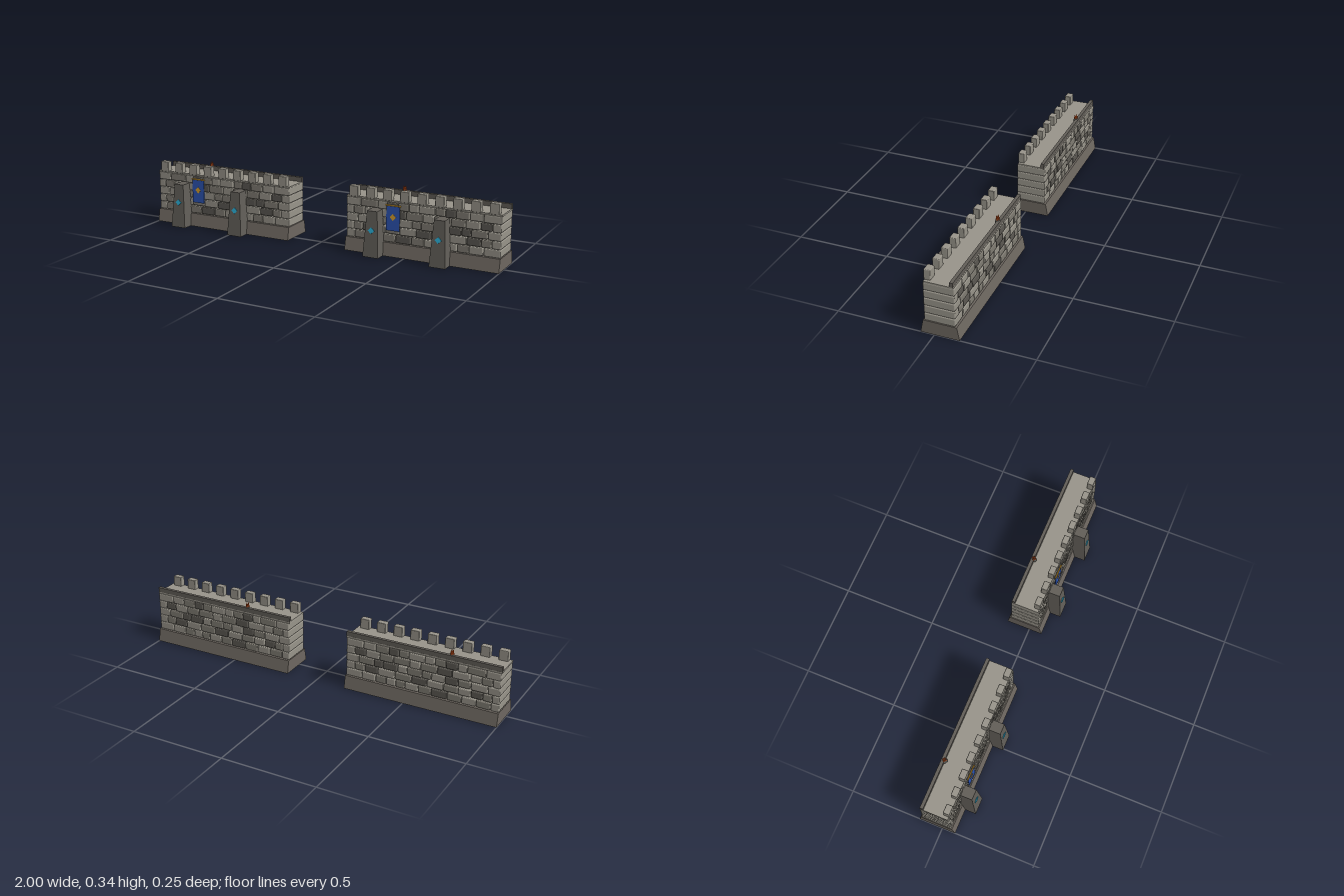
import * as THREE from 'three';
import { RoundedBoxGeometry } from 'three/addons/geometries/RoundedBoxGeometry.js';

const flat = (name, color) => new THREE.MeshStandardMaterial({ name, color });
const mats = {
  L: flat('light stone', 0x98948a),
  M: flat('mid stone', 0x7f7b72),
  D: flat('dark stone', 0x5b5852),
  base: flat('foundation stone', 0x6d6760),
  trim: flat('buttress stone', 0x625e58),
  blue: flat('banner blue', 0x2c55b4),
  gold: flat('gold', 0xd8a030),
  cyan: flat('cyan gem', 0x2bb0d8),
  flame: flat('flame orange', 0xd0521a),
};

const LEN = 0.832, HALF = LEN / 2;

function add(group, name, geometry, material, x = 0, y = 0, z = 0) {
  const mesh = new THREE.Mesh(geometry, material);
  mesh.name = name;
  mesh.position.set(x, y, z);
  group.add(mesh);
  return mesh;
}

function seeded(seed) {
  return () => {
    seed = (seed * 16807) % 2147483647;
    return seed / 2147483647;
  };
}

// Box whose bottom and top have their own width and z range
function taperedBlock(h, bottom, top) {
  const g = new THREE.BoxGeometry(1, h, 1).toNonIndexed();
  const p = g.attributes.position;
  for (let i = 0; i < p.count; i++) {
    const [w, back, front] = p.getY(i) > 0 ? top : bottom;
    p.setXYZ(i, p.getX(i) * w, p.getY(i) + h / 2, p.getZ(i) > 0 ? front : back);
  }
  g.computeVertexNormals();
  return g;
}

// Thin diamond plate
function diamond(rx, ry, depth) {
  const s = new THREE.Shape();
  s.moveTo(rx, 0);
  s.lineTo(0, ry);
  s.lineTo(-rx, 0);
  s.lineTo(0, -ry);
  s.closePath();
  return new THREE.ExtrudeGeometry(s, { depth, bevelEnabled: false });
}

// Courses of through-stones, bottom to top; one letter per stone colour
function buildCourses(group) {
  const rand = seeded(4711);
  const rows = ['LMLMDMLMLMLL', 'LMDLMLDMLDML', 'LLMDLMMLDDML', 'LMLLDMLMMLDL', 'LMLDMLLMDMLL'];
  const y0 = 0.069, pitch = 0.042;
  rows.forEach((row, r) => {
    const widths = [...row].map(() => 0.7 + rand() * 0.75);
    if (r % 2) widths[0] *= 0.6;
    const scale = LEN / widths.reduce((a, b) => a + b);
    let x = -HALF;
    [...row].forEach((c, i) => {
      const w = widths[i] * scale;
      const end = i === 0 || i === row.length - 1;
      const h = pitch - 0.002 - (end ? 0 : rand() * 0.004);
      const d = 0.156 + (end ? 0 : (rand() - 0.5) * 0.006);
      const stone = add(group, 'wallStone', new RoundedBoxGeometry(w - 0.004, h, d, 2, 0.005),
        mats[c], x + w / 2, y0 + (r + 0.5) * pitch, -0.0275);
      stone.rotation.z = end ? 0 : (rand() - 0.5) * 0.03;
      x += w;
    });
  });
}

function buildButtress(group, x) {
  const b = new THREE.Group();
  b.name = 'buttress';
  b.position.x = x;
  add(b, 'buttressBlock', taperedBlock(0.237, [0.086, 0.03, 0.128], [0.056, 0.03, 0.11]), mats.trim);
  const gem = add(b, 'buttressGem', diamond(0.018, 0.017, 0.005), mats.cyan, 0, 0.138, 0.116);
  gem.rotation.x = -0.076;
  group.add(b);
}

function buildBanner(group, x) {
  const b = new THREE.Group();
  b.name = 'banner';
  b.position.x = x;
  add(b, 'bannerCloth', new THREE.BoxGeometry(0.073, 0.128, 0.004), mats.blue, 0, 0.197, 0.055);
  add(b, 'bannerEmblem', diamond(0.017, 0.018, 0.002), mats.gold, 0, 0.204, 0.057);
  const rod = add(b, 'bannerRod', new THREE.CylinderGeometry(0.004, 0.004, 0.082, 8), mats.gold, 0, 0.263, 0.055);
  rod.rotation.z = Math.PI / 2;
  group.add(b);
}

function buildBrazier(group, x) {
  const b = new THREE.Group();
  b.name = 'brazier';
  b.position.set(x, 0, -0.084);
  add(b, 'brazierBowl', new THREE.CylinderGeometry(0.009, 0.015, 0.016, 8), mats.D, 0, 0.308, 0);
  for (let i = 0; i < 4; i++) {
    const a = i * Math.PI / 2;
    add(b, 'flame', new THREE.ConeGeometry(0.005, 0.027, 6), mats.flame,
      Math.cos(a) * 0.006, 0.326, Math.sin(a) * 0.006);
  }
  group.add(b);
}

function buildWall(x) {
  const wall = new THREE.Group();
  wall.name = 'wallSection';
  wall.position.x = x;

  // Sloping foundation
  add(wall, 'foundation', taperedBlock(0.069, [LEN, -0.126, 0.07], [LEN, -0.113, 0.056]), mats.base);
  buildCourses(wall);

  // Walkway, rear parapet and battlements
  add(wall, 'walkway', new THREE.BoxGeometry(LEN, 0.009, 0.146), mats.L, 0, 0.2825, -0.0275);
  add(wall, 'rearParapet', new THREE.BoxGeometry(LEN, 0.03, 0.017), mats.trim, 0, 0.296, -0.0915);
  for (let i = 0; i < 9; i++) {
    add(wall, 'merlon', new RoundedBoxGeometry(0.049, 0.056, 0.034, 2, 0.004), mats.L,
      -0.375 + i * 0.09375, 0.312, 0.034);
  }

  for (const bx of [-0.242, 0.119]) buildButtress(wall, bx);
  buildBanner(wall, -0.152);
  buildBrazier(wall, -0.152);
  return wall;
}

export function createModel() {
  const model = new THREE.Group();
  model.name = 'castleWalls';
  for (const side of [-1, 1]) model.add(buildWall(side * (1 - HALF)));
  return model;
}
